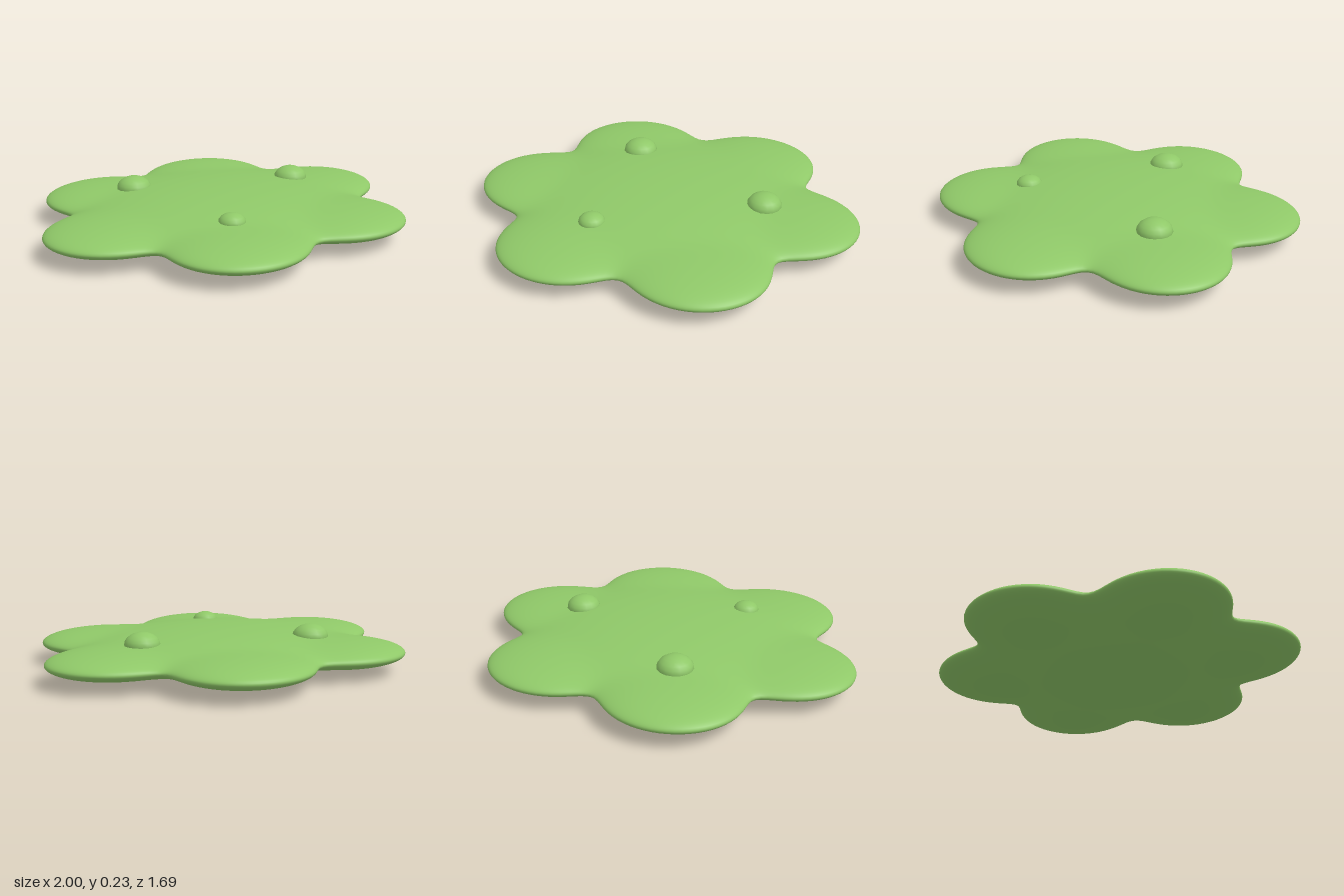
import * as THREE from 'three';
import { mergeVertices } from 'three/addons/utils/BufferGeometryUtils.js';

const MID_Y = 0.103;     // height of the rim
const FLATTEN = 0.19;    // vertical squash of the lobes
const DEPTH = 0.925;     // slight squash front to back
const BLEND = 0.05;      // softness of the joins

const lobes = Array.from({ length: 6 }, (_, i) => {
  const a = i * Math.PI / 3;
  return new THREE.Vector3(Math.cos(a) * 0.66, 0, Math.sin(a) * 0.66);
});

// Soft union of six round lobes and a domed centre; negative inside
function field(p) {
  const core = (Math.hypot(p.x / 0.7, p.y / 0.525, p.z / 0.7) - 1) * 0.7;
  let sum = Math.exp(-core / BLEND);
  for (const c of lobes) sum += Math.exp(-(p.distanceTo(c) - 0.34) / BLEND);
  return -BLEND * Math.log(sum);
}

// Push every vertex of a sphere out to the surface of the union
function padGeometry() {
  let geo = new THREE.SphereGeometry(1, 180, 96);
  geo.deleteAttribute('uv');
  geo.deleteAttribute('normal');
  geo = mergeVertices(geo, 1e-5);
  const pos = geo.attributes.position;
  const dir = new THREE.Vector3(), p = new THREE.Vector3();
  for (let i = 0; i < pos.count; i++) {
    dir.fromBufferAttribute(pos, i).normalize();
    let near = 0, far = 1.3;
    for (let k = 0; k < 24; k++) {
      const t = (near + far) / 2;
      if (field(p.copy(dir).multiplyScalar(t)) < 0) near = t; else far = t;
    }
    p.copy(dir).multiplyScalar(near);
    pos.setXYZ(i, p.x, p.y * FLATTEN + MID_Y, p.z * DEPTH);
  }
  geo.computeVertexNormals();
  return geo;
}

export function createModel() {
  const group = new THREE.Group();
  group.name = 'lobedPad';
  const green = new THREE.MeshStandardMaterial({ color: 0x8fc868 });
  green.name = 'leafGreen';

  // Six-lobed body
  const pad = new THREE.Mesh(padGeometry(), green);
  pad.name = 'pad';
  group.add(pad);

  // Small domes on top: x, y, z, radius, height
  const bumps = [
    [-0.265, 0.173, -0.39, 0.09, 0.062],
    [0.515, 0.173, -0.02, 0.088, 0.062],
    [-0.25, 0.17, 0.387, 0.067, 0.046],
  ];
  bumps.forEach(([x, y, z, r, h], i) => {
    const bump = new THREE.Mesh(new THREE.SphereGeometry(1, 16, 10), green);
    bump.scale.set(r, h, r);
    bump.position.set(x, y, z);
    bump.name = `bump${i + 1}`;
    group.add(bump);
  });
  return group;
}
